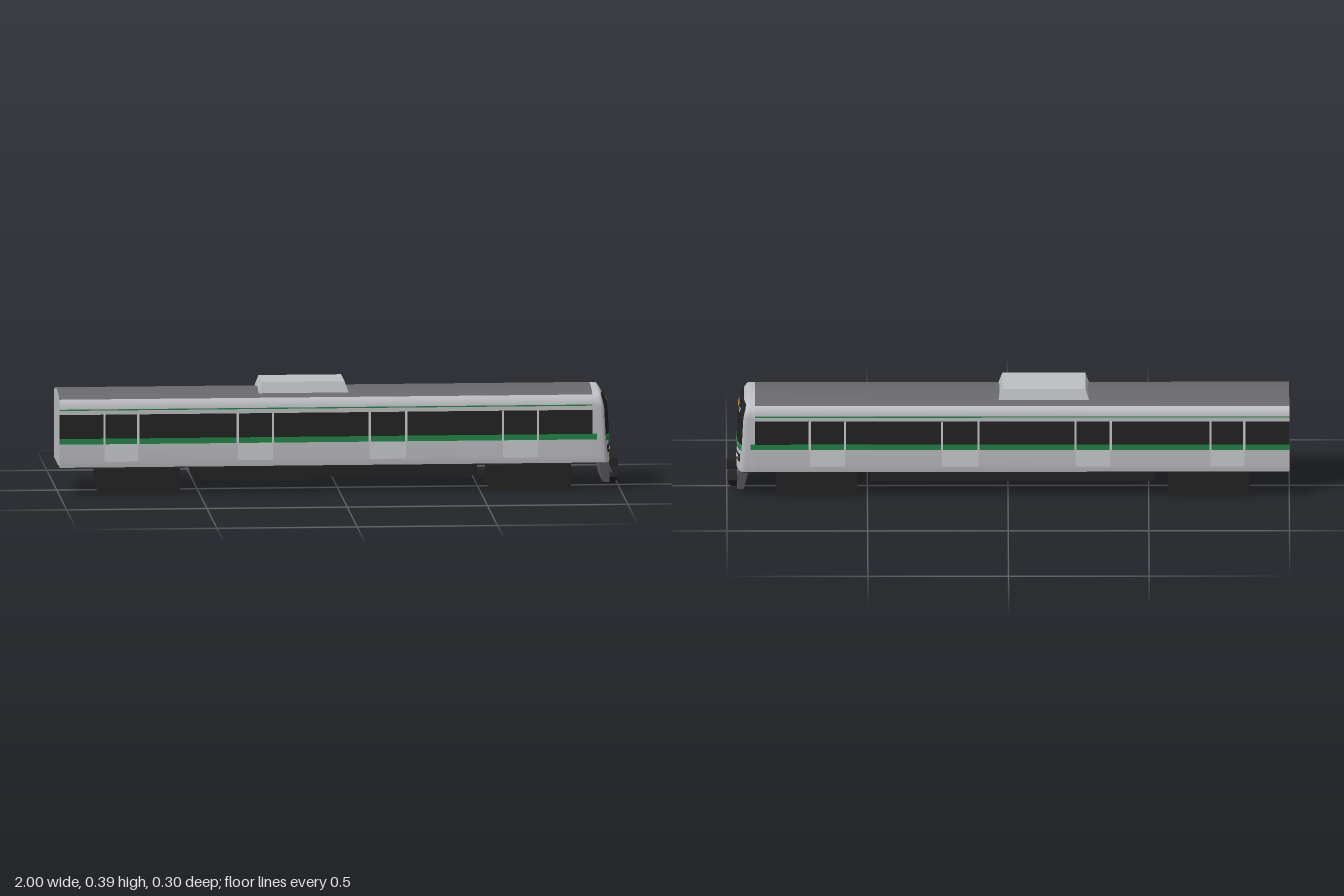
import * as THREE from 'three';

const mat = (name, color) => {
  const m = new THREE.MeshStandardMaterial({ color, side: THREE.DoubleSide });
  m.name = name;
  return m;
};

// half cross-section of the car body: [half width, height], from sill to ridge
const PROFILE = [[.143, .1], [.147, .125], [.147, .2], [.147, .3], [.1455, .315],
  [.14, .331], [.131, .343], [.1, .355], [.05, .362], [0, .365]];
const EAVE = 6; // profile index where the roof begins

function halfWidth(y) {
  for (let i = 1; i < PROFILE.length; i++) {
    const [z0, y0] = PROFILE[i - 1], [z1, y1] = PROFILE[i];
    if (y <= y1) return z0 + (z1 - z0) * (y - y0) / (y1 - y0);
  }
  return 0;
}

// x of the cab nose: leans back, rounds over at the roof and at the corners
function noseX(y, z) {
  const top = Math.max(0, (y - .29) / .075);
  return .966 - .05 * (y - .1) - .03 * top * top - .02 * (z / .147) ** 4;
}

// smooth surface from f(i, j) -> [x, y, z]
function grid(nu, nv, f) {
  const pos = [], idx = [];
  for (let i = 0; i <= nu; i++) for (let j = 0; j <= nv; j++) pos.push(...f(i, j));
  for (let i = 0; i < nu; i++) for (let j = 0; j < nv; j++) {
    const a = i * (nv + 1) + j, b = a + nv + 1;
    idx.push(a, b, a + 1, b, b + 1, a + 1);
  }
  const g = new THREE.BufferGeometry();
  g.setAttribute('position', new THREE.Float32BufferAttribute(pos, 3));
  g.setIndex(idx);
  g.computeVertexNormals();
  return g;
}

// box whose bottom and top rectangles differ: [y, x0, x1, halfZ]
function frustum(bottom, top) {
  const g = new THREE.BoxGeometry(1, 1, 1).toNonIndexed();
  const p = g.attributes.position;
  for (let i = 0; i < p.count; i++) {
    const [y, x0, x1, hz] = p.getY(i) > 0 ? top : bottom;
    p.setXYZ(i, p.getX(i) > 0 ? x1 : x0, y, p.getZ(i) * 2 * hz);
  }
  g.computeVertexNormals();
  return g;
}

export function createModel() {
  const silver = mat('silver', 0xbdbec2), roofGrey = mat('roofGrey', 0x69686d);
  const black = mat('black', 0x222222), green = mat('green', 0x1f8645);
  const doorGrey = mat('doorGrey', 0xcbccce), unitGrey = mat('unitGrey', 0xbcc0c3);
  const orange = mat('orange', 0xd08a3c), lampWhite = mat('lampWhite', 0xd2d4d6);

  const model = new THREE.Group();
  model.name = 'railCar';
  const add = (name, geo, material) => {
    const m = new THREE.Mesh(geo, material);
    m.name = name;
    model.add(m);
    return m;
  };
  const box = (name, material, x0, x1, y0, y1, z0, z1) =>
    add(name, new THREE.BoxGeometry(x1 - x0, y1 - y0, z1 - z0), material)
      .position.set((x0 + x1) / 2, (y0 + y1) / 2, (z0 + z1) / 2);

  // body shell: walls, roof, rear wall
  const full = [...PROFILE, ...PROFILE.slice(0, -1).reverse().map(([z, y]) => [-z, y])];
  const last = full.length - 1;
  const skin = (from, to) => grid(1, to - from, (i, j) => {
    const [z, y] = full[from + j];
    return [i ? .9 : -1, y, z];
  });
  add('leftWall', skin(0, EAVE), silver);
  add('rightWall', skin(last - EAVE, last), silver);
  add('roof', skin(EAVE, last - EAVE), roofGrey);
  add('rearWall', grid(PROFILE.length - 1, 1, (i, j) =>
    [-1, PROFILE[i][1], PROFILE[i][0] * (j ? -1 : 1)]), silver);
  box('floor', black, -1, .945, .098, .103, -.141, .141);

  // cab: sides lofted to a slightly tucked-in rim, then the curved nose
  const tuck = (z, y, k) => [z * (1 - .03 * k), .1 + (y - .1) * (1 - .015 * k)];
  const rings = [[0, 0], [.5, 0], [.75, .08], [.92, .4], [1, 1]];
  add('cabShell', grid(rings.length - 1, last, (i, j) => {
    const [t, k] = rings[i];
    const [z, y] = tuck(...full[j], k), [rz, ry] = tuck(...full[j], 1);
    return [.9 + t * (noseX(ry, rz) - .9), y, z];
  }), silver);
  add('cabNose', grid(PROFILE.length - 1, 16, (i, j) => {
    const [hz, y] = tuck(...PROFILE[i], 1), z = hz * (1 - j / 8);
    return [noseX(y, z), y, z];
  }), silver);

  // thin plate following the nose; side limits may depend on height
  const nosePlate = (name, material, y0, y1, zA, zB, lift = .003) => {
    const at = (v, y) => (typeof v === 'function' ? v(y) : v);
    add(name, grid(12, 16, (i, j) => {
      const y = y0 + (y1 - y0) * i / 12;
      const z = at(zA, y) + (at(zB, y) - at(zA, y)) * j / 16;
      return [noseX(y, z) + lift, y, z];
    }), material);
  };
  const edge = y => halfWidth(y) * .968;
  nosePlate('windshield', black, .199, .347, edge, y => -edge(y));
  nosePlate('destinationSign', orange, .307, .323, .038, -.038, .005);
  for (const y of [.309, .317]) nosePlate('numberSign', lampWhite, y, y + .005, -.069, -.1, .005);
  const slant = y => .085 + (y - .178) * .4;
  nosePlate('noseStripe', green, .178, .197, slant, y => -slant(y));
  for (const s of [1, -1]) {
    nosePlate('noseStripeEnd', green, .178, .197, s * .142, y => s * (.093 + (y - .178) * .4));
    nosePlate('headlightFrame', black, .135, .162, s * .134, s * .075);
    nosePlate('headlight', lampWhite, .142, .155, s * .115, s * .082, .005);
    nosePlate('markerLight', orange, .143, .151, s * .126, s * .12, .005);
  }

  // side details, both sides
  const doors = [[-.84, -.72], [-.365, -.24], [.105, .235], [.58, .705]];
  for (const s of [1, -1]) {
    const plate = (name, material, x0, x1, y0, y1, out) => {
      const a = s * .146, b = s * (.147 + out);
      box(name, material, x0, x1, y0, y1, Math.min(a, b), Math.max(a, b));
    };
    plate('windowBand', black, -1, .9, .203, .29, .0015);
    plate('waistStripe', green, -1, .915, .184, .204, .002);
    plate('upperStripe', green, -1, .9, .305, .309, .0015);
    for (const [x0, x1] of doors) {
      plate('doorPanel', doorGrey, x0, x1, .122, .184, .0015);
      for (const x of [x0, x1]) plate('doorEdge', doorGrey, x - .004, x + .004, .184, .29, .003);
    }
  }

  // rooftop unit
  add('roofUnit', frustum([.35, -.29, .035, .102], [.393, -.275, .02, .09]), unitGrey);

  // underfloor equipment
  box('equipmentBox', black, -.52, .49, .055, .1, -.115, .115);
  for (const x of [-.715, .68]) {
    box('bogie', black, x - .145, x + .145, .004, .092, -.12, .12);
    box('bogieBase', black, x - .13, x + .13, 0, .01, -.105, .105);
    box('bogiePivot', black, x - .06, x + .06, .09, .1, -.06, .06);
  }

  // skirt, coupler and plough under the cab
  add('frontSkirt', frustum([.024, .94, .963, .106], [.1, .922, .96, .132]), roofGrey);
  add('plough', frustum([.01, .94, .985, .035], [.036, .94, .998, .05]), black);
  box('coupler', black, .94, 1, .068, .098, -.016, .016);

  return model;
}
